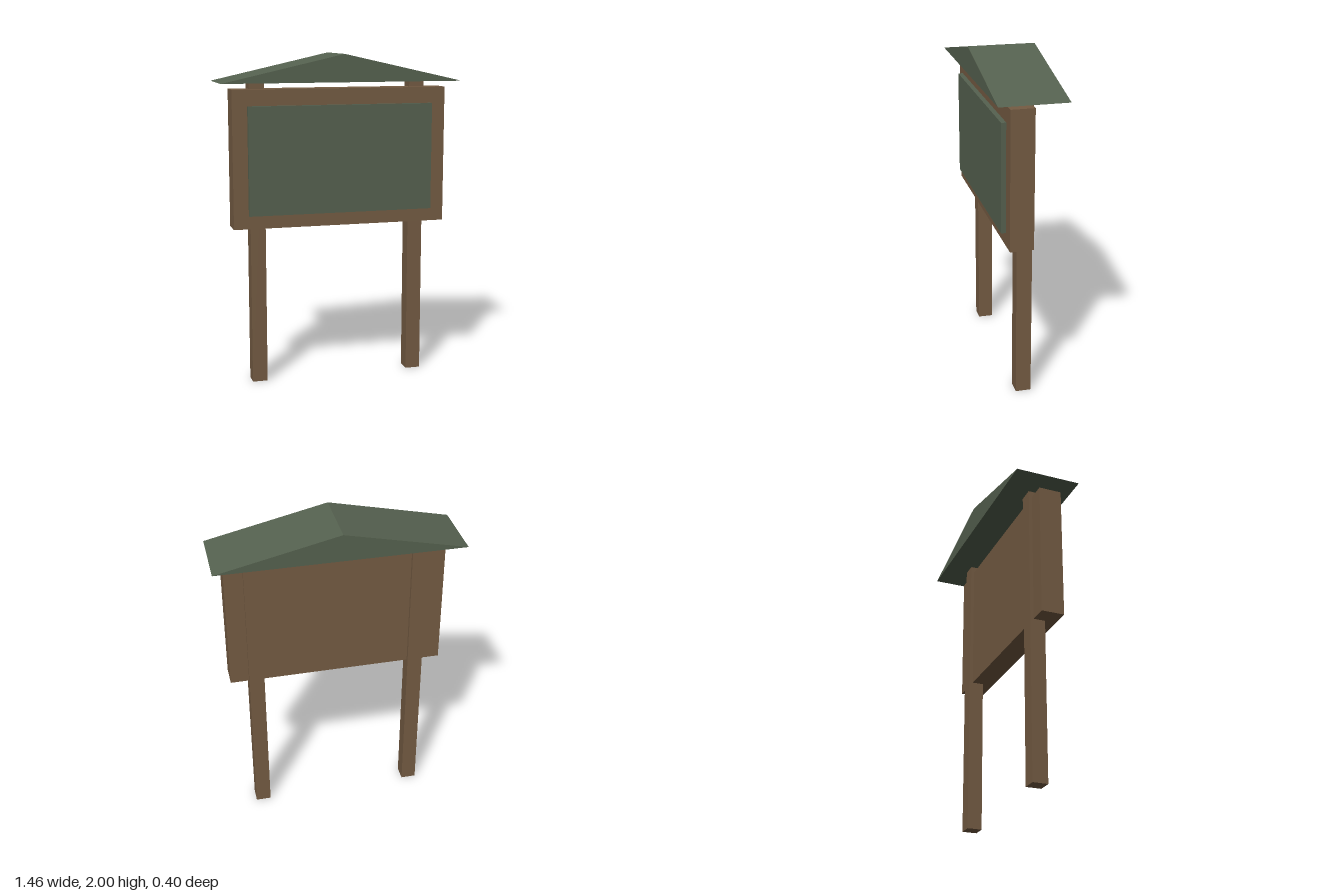
import * as THREE from 'three';

export function createModel() {
  const wood = new THREE.MeshStandardMaterial({ color: 0x755c43 });
  wood.name = 'brown wood';
  const green = new THREE.MeshStandardMaterial({ color: 0x566250 });
  green.name = 'muted green';

  const model = new THREE.Group();
  model.name = 'noticeBoard';

  function add(name, geometry, material) {
    const mesh = new THREE.Mesh(geometry, material);
    mesh.name = name;
    model.add(mesh);
    return mesh;
  }

  // Box given by its extents on each axis
  function block(name, [x0, x1], [y0, y1], [z0, z1], material) {
    const mesh = add(name, new THREE.BoxGeometry(x1 - x0, y1 - y0, z1 - z0), material);
    mesh.position.set((x0 + x1) / 2, (y0 + y1) / 2, (z0 + z1) / 2);
  }

  // Two square posts reaching up to the roof
  for (const [name, x] of [['leftPost', 0.497], ['rightPost', -0.497]]) {
    block(name, [x - 0.046, x + 0.046], [0, 1.837], [-0.046, 0.046], wood);
  }

  // Thick backing board, set forward on the posts, with a raised panel
  block('board', [-0.655, 0.655], [0.973, 1.797], [-0.025, 0.114], wood);
  block('noticePanel', [-0.565, 0.565], [1.054, 1.701], [0.11, 0.143], green);

  // Solid low gabled roof
  const gable = new THREE.Shape([
    new THREE.Vector2(-0.73, 1.836),
    new THREE.Vector2(0.73, 1.836),
    new THREE.Vector2(0, 2),
  ]);
  const roof = new THREE.ExtrudeGeometry(gable, { depth: 0.4, bevelEnabled: false });
  roof.translate(0, 0, -0.2);
  add('roof', roof, green);

  return model;
}
